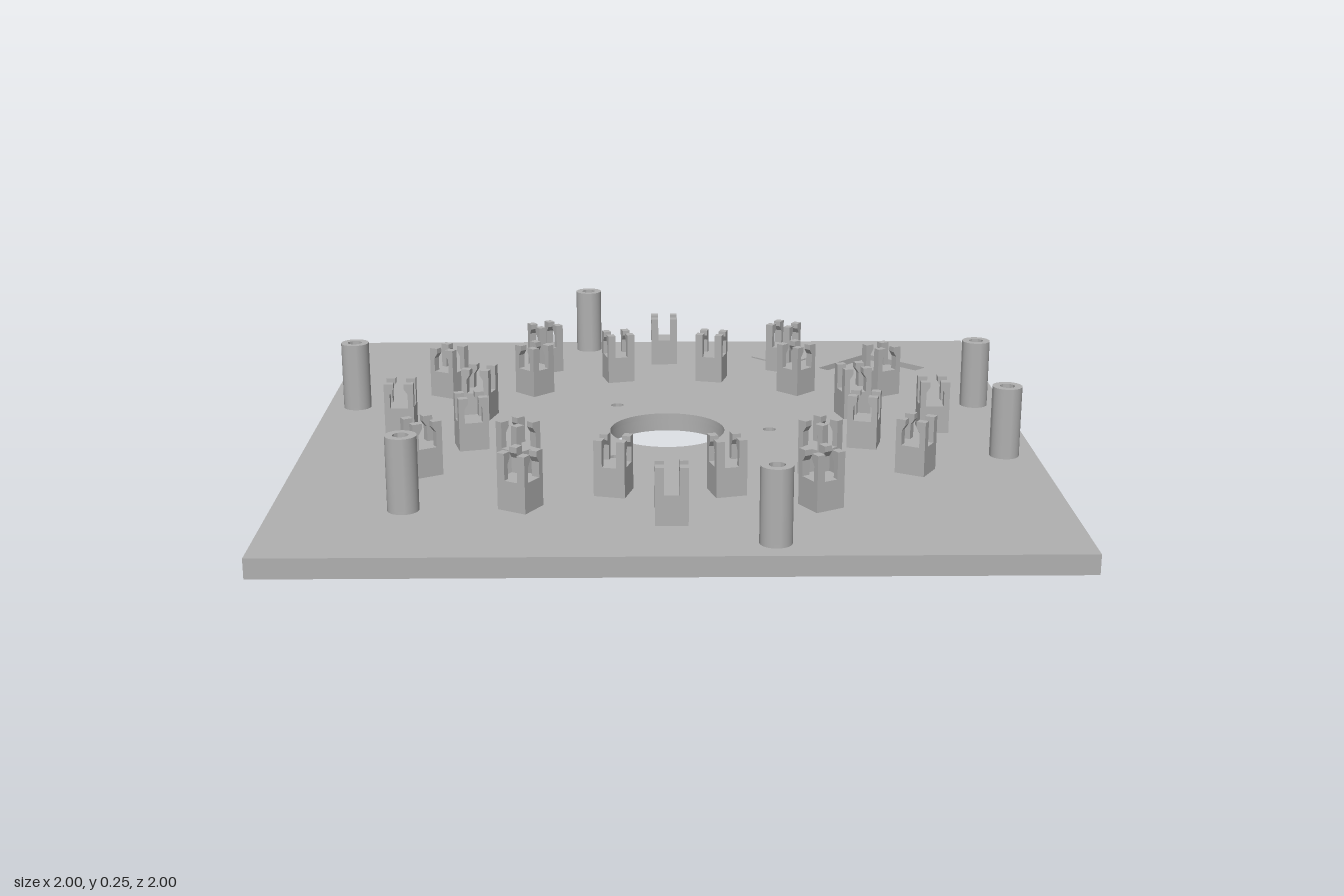
import * as THREE from 'three';
import { toCreasedNormals } from 'three/addons/utils/BufferGeometryUtils.js';

const grey = new THREE.MeshStandardMaterial({ color: 0xb0b0b0 });
grey.name = 'grey plastic';

function add(parent, name, geometry) {
  const mesh = new THREE.Mesh(geometry, grey);
  mesh.name = name;
  parent.add(mesh);
  return mesh;
}

// Plan outlines are drawn with shape y = -z
const circle = (x, z, r) => new THREE.Path().absarc(x, -z, r, 0, Math.PI * 2, true);
const polygon = (points) => points.map(([x, z]) => new THREE.Vector2(x, -z));
const diamond = (x, z, r) => polygon([[x - r, z], [x, z + r], [x + r, z], [x, z - r]]);

// Horizontal slab between two heights, pierced by the given holes
function slab(outline, holes, y0, y1) {
  const shape = new THREE.Shape(outline);
  shape.holes.push(...holes);
  const g = new THREE.ExtrudeGeometry(shape, { depth: y1 - y0, bevelEnabled: false, curveSegments: 32 });
  g.rotateX(-Math.PI / 2);
  g.translate(0, y0, 0);
  return toCreasedNormals(g, 0.6);
}

export function createModel() {
  const model = new THREE.Group();
  model.name = 'mountingBoard';

  // Base plate: full lower layer, upper layer with recess and blind holes
  const square = polygon([[-1, 1], [1, 1], [1, -1], [-1, -1]]);
  const centreHole = () => circle(0, 0, 0.162);
  const padHoles = () => [circle(0.35, -0.805, 0.018), circle(0.41, -0.805, 0.018)];
  const pinHoles = [[0.29, 0], [-0.145, 0.25], [-0.145, -0.25]].map(([x, z]) => circle(x, z, 0.018));
  add(model, 'plateBottom', slab(square, [centreHole(), circle(0.66, -0.66, 0.035)], 0, 0.035));
  add(model, 'plateTop', slab(square, [
    centreHole(), new THREE.Path(diamond(0.66, -0.66, 0.17)), ...pinHoles, ...padHoles(),
  ], 0.035, 0.052));

  // Thin raised pad with two holes
  add(model, 'raisedPad', slab(diamond(0.385, -0.79, 0.1), padHoles(), 0.052, 0.056));

  // Hollow posts
  const postProfile = [[0.04, 0.05], [0.04, 0.247], [0.02, 0.247], [0.02, 0.13], [0, 0.13]]
    .map(([r, y]) => new THREE.Vector2(r, y));
  const postGeometry = toCreasedNormals(new THREE.LatheGeometry(postProfile, 32), 0.6);
  for (const [x, z] of [[-0.245, -0.912], [-0.912, -0.245], [0.912, -0.245],
    [0.912, 0.245], [0.245, 0.912], [-0.667, 0.667]]) {
    add(model, 'post', postGeometry).position.set(x, 0, z);
  }

  // Clip prong: hooked at the top, facing inward
  const prongShape = new THREE.Shape([
    [0.041, 0.13], [0.041, 0.2], [0.015, 0.2], [0.015, 0.185], [0.025, 0.17], [0.025, 0.13],
  ].map(([x, y]) => new THREE.Vector2(x, y)));
  const prongGeometry = new THREE.ExtrudeGeometry(prongShape, { depth: 0.022, bevelEnabled: false });
  prongGeometry.translate(0, 0, 0.019);
  const oppositeProng = prongGeometry.clone().translate(0, 0, -0.06);
  const blockGeometry = new THREE.BoxGeometry(0.082, 0.08, 0.082).translate(0, 0.09, 0);

  function addClip(radius, angle) {
    const clip = new THREE.Group();
    clip.name = 'clip';
    add(clip, 'clipBlock', blockGeometry);
    for (const turn of [0, Math.PI]) {
      add(clip, 'clipProng', prongGeometry).rotation.y = turn;
      add(clip, 'clipProng', oppositeProng).rotation.y = turn;
    }
    clip.position.set(radius * Math.cos(angle), 0, -radius * Math.sin(angle));
    clip.rotation.y = angle;
    model.add(clip);
  }

  // Two staggered rings of twelve clips
  for (let i = 0; i < 12; i++) {
    addClip(0.752, (i * Math.PI) / 6);
    addClip(0.56, ((i + 0.5) * Math.PI) / 6);
  }
  return model;
}
